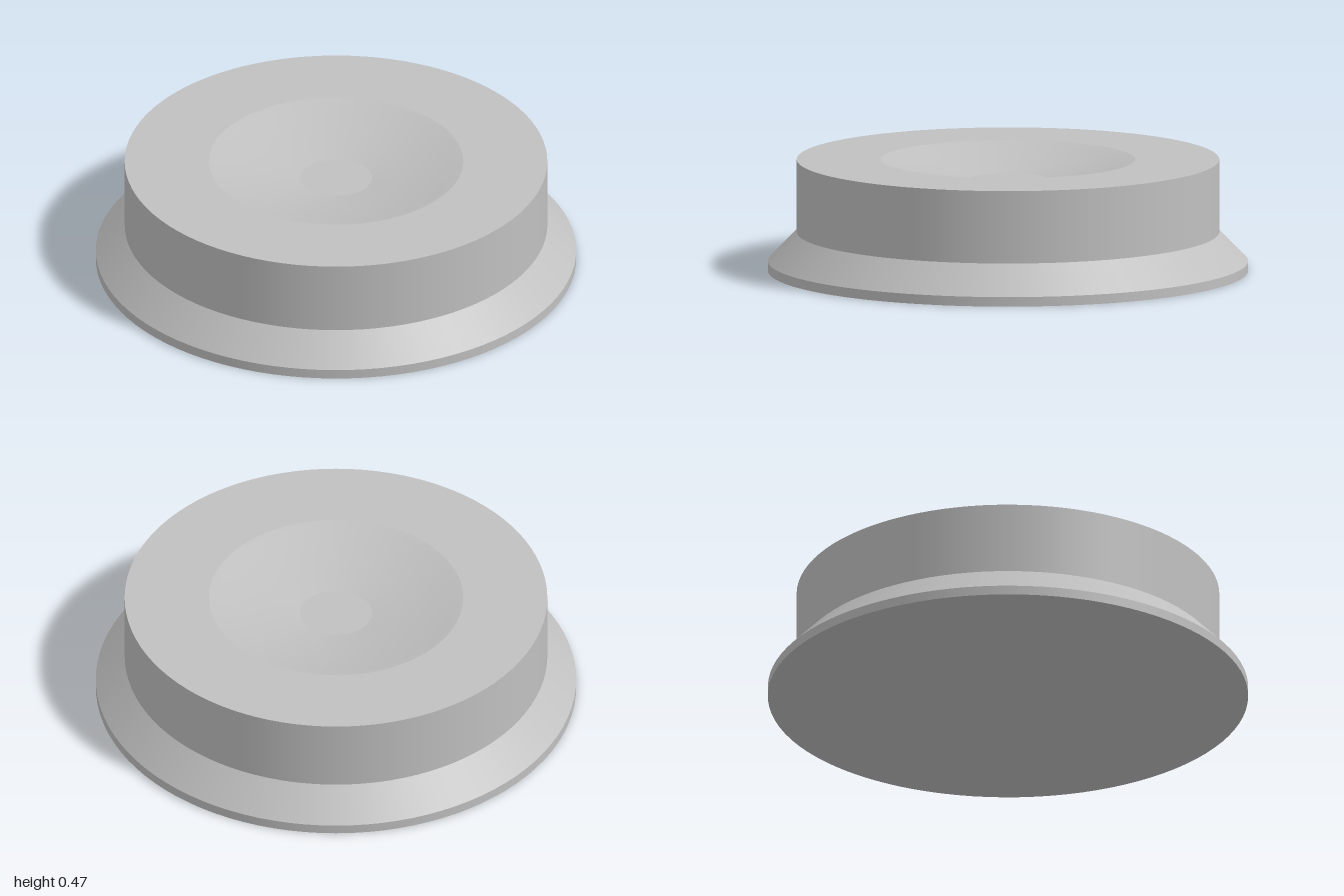
import * as THREE from 'three';

const SEGMENTS = 96;

export function createModel() {
  const model = new THREE.Group();
  model.name = 'dishedDisc';
  const grey = new THREE.MeshStandardMaterial({ color: 0xc0c0c0 });
  grey.name = 'plain grey';

  // Each band is its own lathe, so edges between bands stay sharp
  const addBand = (name, points) => {
    const profile = points.map(([r, y]) => new THREE.Vector2(r, y));
    const mesh = new THREE.Mesh(new THREE.LatheGeometry(profile, SEGMENTS), grey);
    mesh.name = name;
    model.add(mesh);
  };

  addBand('underside', [[0, 0], [1, 0]]);
  addBand('baseRim', [[1, 0], [1, 0.04]]);
  addBand('baseSlope', [[1, 0.04], [0.88, 0.163]]);
  addBand('drumWall', [[0.88, 0.163], [0.88, 0.468]]);
  addBand('topRing', [[0.88, 0.468], [0.53, 0.468]]);

  // Shallow dish sinking to a flat centre
  addBand('dish', [
    [0.53, 0.468], [0.5, 0.461], [0.45, 0.447], [0.35, 0.423],
    [0.25, 0.404], [0.15, 0.388],
  ]);
  addBand('dishFloor', [[0.15, 0.388], [0, 0.388]]);

  return model;
}
